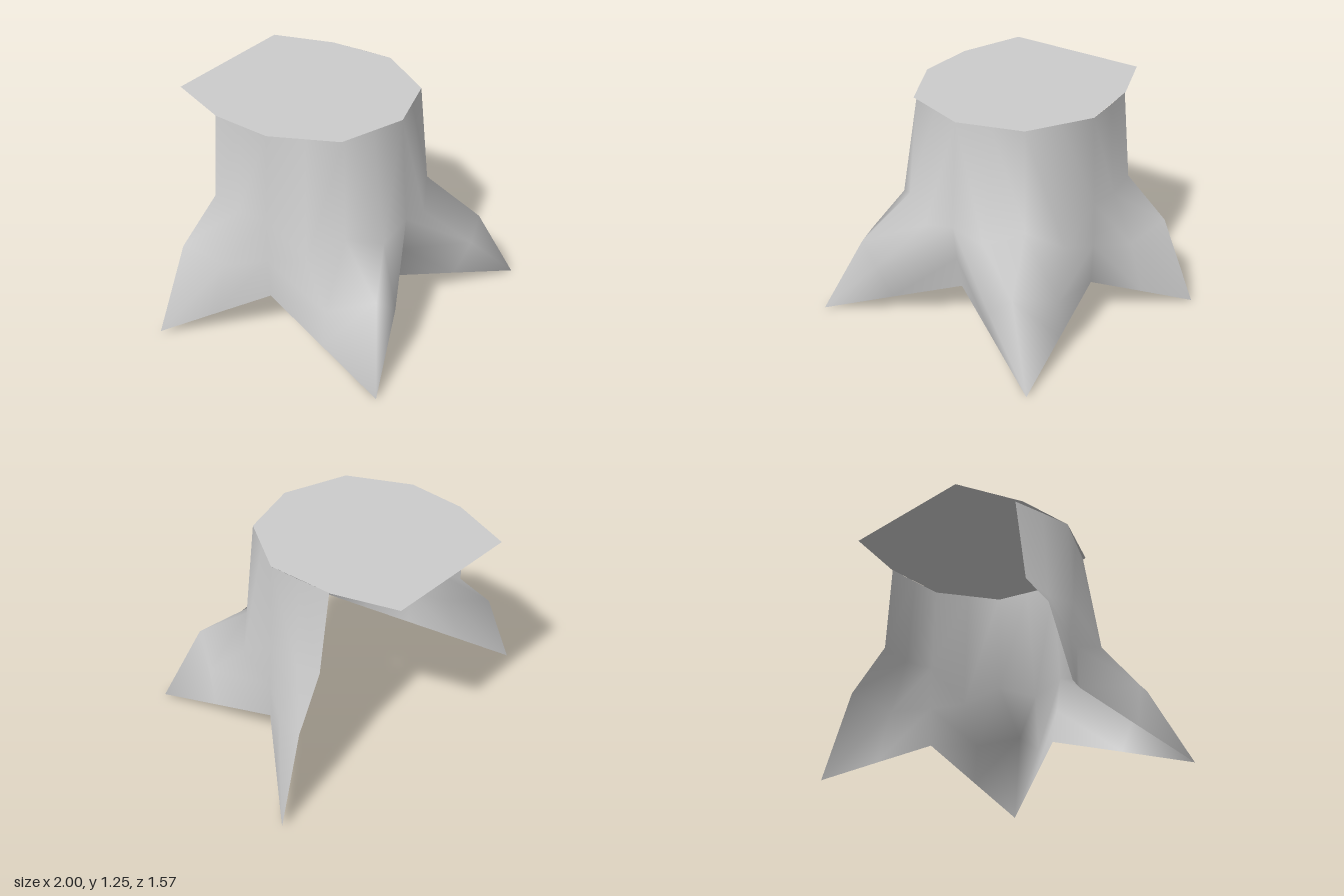
import * as THREE from 'three';

// Open-backed stump shell: each column lists four points from rim to root edge.
// One half runs from the back root round to the front centre; the other is mirrored.
const half = [
  [[0.53, 1.255, -0.43], [0.59, 0.76, -0.415], [0.81, 0.515, -0.475], [1.0, 0.01, -0.52]], // back root ridge
  [[0.55, 1.255, -0.24], [0.592, 0.72, -0.25], [0.73, 0.44, -0.24], [0.8, 0.128, -0.275]], // back root flank
  [[0.565, 1.255, -0.05], [0.59, 0.74, -0.05], [0.6, 0.48, -0.04], [0.6, 0.245, -0.03]], // side notch
  [[0.462, 1.255, 0.125], [0.565, 0.57, 0.2], [0.66, 0.37, 0.4], [0.657, 0.122, 0.375]], // front root, side flank
  [[0.36, 1.255, 0.3], [0.4, 0.67, 0.34], [0.52, 0.45, 0.635], [0.715, 0, 0.78]], // front root ridge
  [[0.18, 1.255, 0.36], [0.2, 0.58, 0.455], [0.39, 0.345, 0.67], [0.358, 0.108, 0.585]], // front root, front flank
  [[0, 1.255, 0.42], [0, 0.64, 0.465], [0, 0.42, 0.43], [0, 0.215, 0.39]], // front notch
];

function surface(columns) {
  const rows = columns[0].length;
  const index = [];
  for (let c = 0; c < columns.length - 1; c++) {
    for (let r = 0; r < rows - 1; r++) {
      const a = c * rows + r, b = a + rows;
      // diagonals mirror across the centre line
      if (c < (columns.length - 1) / 2) index.push(a, b, a + 1, b, b + 1, a + 1);
      else index.push(a, b, b + 1, a, b + 1, a + 1);
    }
  }
  // columns run left to right round the front, so flip to face outwards
  for (let i = 0; i < index.length; i += 3) {
    [index[i + 1], index[i + 2]] = [index[i + 2], index[i + 1]];
  }
  const geometry = new THREE.BufferGeometry();
  geometry.setAttribute('position', new THREE.Float32BufferAttribute(columns.flat(2), 3));
  geometry.setIndex(index);
  geometry.computeVertexNormals();
  return geometry;
}

export function createModel() {
  const group = new THREE.Group();
  group.name = 'stump';
  const grey = new THREE.MeshStandardMaterial({ color: 0xcccccc, side: THREE.DoubleSide });
  grey.name = 'light grey';

  // trunk wall with four spreading roots
  const mirrored = half.slice(0, -1).reverse().map(col => col.map(([x, y, z]) => [-x, y, z]));
  const trunk = new THREE.Mesh(surface([...half, ...mirrored]), grey);
  trunk.name = 'trunkAndRoots';
  group.add(trunk);

  // flat top, reaching out past the open back
  const outline = [
    [0, 0.42], [0.36, 0.3], [0.565, -0.05], [0.53, -0.44], [0.4, -0.79],
    [-0.43, -0.78], [-0.56, -0.4], [-0.565, -0.05], [-0.38, 0.3],
  ].map(([x, z]) => new THREE.Vector2(x, -z));
  const capGeometry = new THREE.ShapeGeometry(new THREE.Shape(outline));
  capGeometry.rotateX(-Math.PI / 2);
  const cap = new THREE.Mesh(capGeometry, grey);
  cap.name = 'cutTop';
  cap.position.y = 1.255;
  group.add(cap);

  return group;
}
